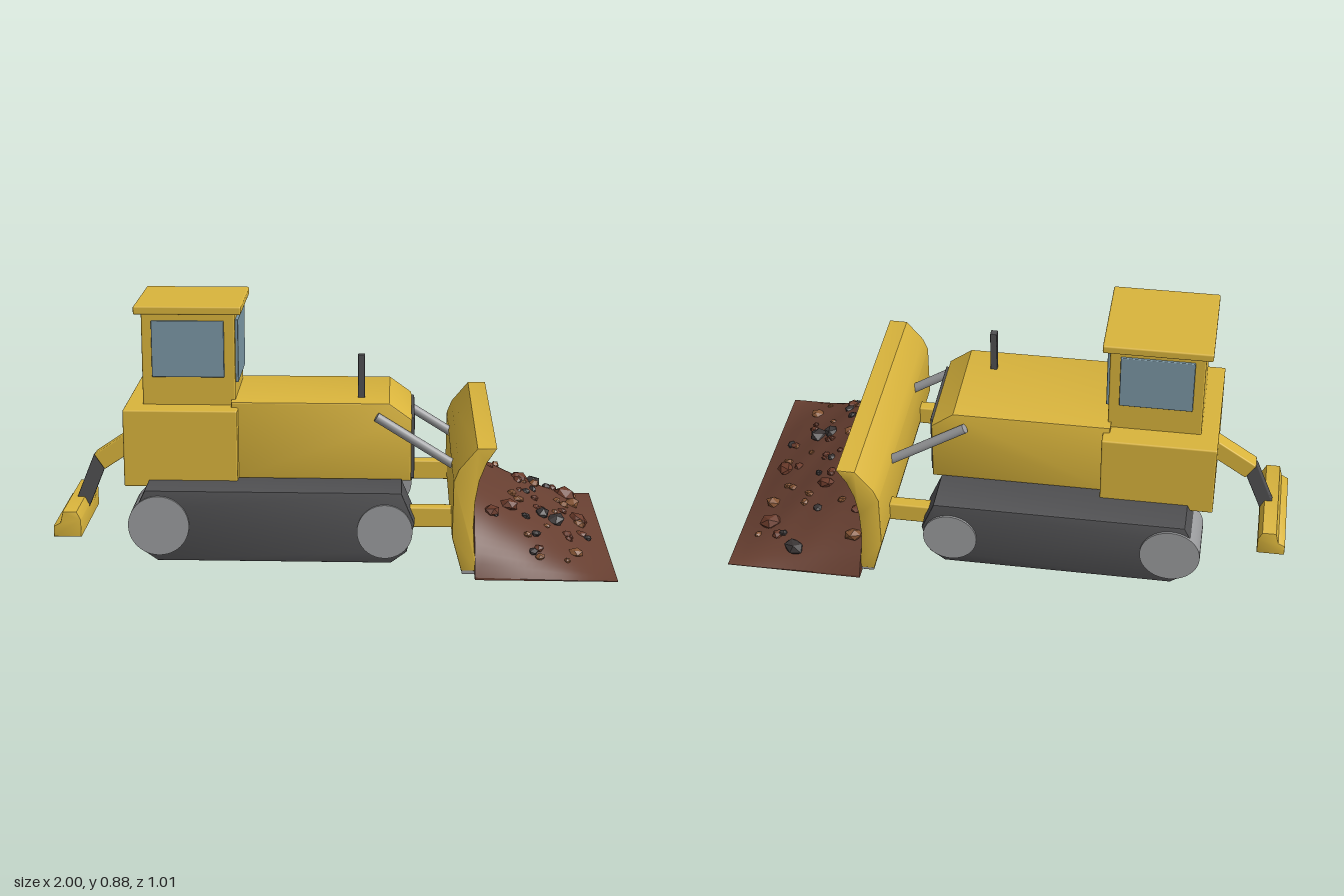
import * as THREE from 'three';
import { RoundedBoxGeometry } from 'three/addons/geometries/RoundedBoxGeometry.js';
import { toCreasedNormals } from 'three/addons/utils/BufferGeometryUtils.js';

const mat = (color, flatShading = false) => new THREE.MeshStandardMaterial({ color, flatShading });

export function createModel() {
  const model = new THREE.Group();
  const yellow = mat(0xd9b43c), dark = mat(0x505052), steel = mat(0x9b9c9e), glass = mat(0x7b97a5);
  const soil = mat(0x673f31);
  const stones = [mat(0x6a3a2a, true), mat(0x865534, true), mat(0x393434, true)];

  const add = (name, geometry, material) => {
    const mesh = new THREE.Mesh(geometry, material);
    mesh.name = name;
    model.add(mesh);
    return mesh;
  };
  // Box given by its minimum and maximum corners
  const box = (name, material, [x0, y0, z0], [x1, y1, z1], r = 0.006) => {
    const mesh = add(name, new RoundedBoxGeometry(x1 - x0, y1 - y0, z1 - z0, 2, r), material);
    mesh.position.set((x0 + x1) / 2, (y0 + y1) / 2, (z0 + z1) / 2);
    return mesh;
  };
  // Side profile in x/y, extruded across z with a small bevel
  const slab = (name, material, points, z0, z1, b = 0.006) => {
    const shape = new THREE.Shape(points.map(p => new THREE.Vector2(...p)));
    const geometry = new THREE.ExtrudeGeometry(shape, {
      depth: z1 - z0 - 2 * b, bevelEnabled: b > 0, bevelThickness: b, bevelSize: b, bevelOffset: -b, bevelSegments: 2,
    });
    geometry.translate(0, 0, z0 + b);
    return add(name, toCreasedNormals(geometry, 0.5), material);
  };
  // Bar between two points of the x/y plane
  const bar = (name, material, [ax, ay], [bx, by], thickness, width, z = 0, round = false) => {
    const length = Math.hypot(bx - ax, by - ay);
    const geometry = round
      ? new THREE.CylinderGeometry(thickness / 2, thickness / 2, length, 20).rotateZ(Math.PI / 2)
      : new RoundedBoxGeometry(length, thickness, width, 2, 0.005);
    const mesh = add(name, geometry, material);
    mesh.position.set((ax + bx) / 2, (ay + by) / 2, z);
    mesh.rotation.z = Math.atan2(by - ay, bx - ax);
  };

  // Body and engine hood
  box('rearBody', yellow, [-0.73, 0.245, -0.253], [-0.325, 0.525, 0.253]);
  slab('engineHood', yellow, [[-0.35, 0.26], [0.29, 0.26], [0.29, 0.487], [0.21, 0.545], [-0.35, 0.545]], -0.203, 0.203);
  box('grille', dark, [0.28, 0.26, -0.165], [0.301, 0.485, 0.165], 0.003);
  box('exhaust', dark, [0.097, 0.53, 0.09], [0.122, 0.7, 0.118], 0.003);

  // Cab
  box('cab', yellow, [-0.668, 0.515, -0.165], [-0.337, 0.862, 0.165]);
  box('roof', yellow, [-0.692, 0.855, -0.19], [-0.313, 0.885, 0.19]);
  box('frontWindow', glass, [-0.345, 0.602, -0.14], [-0.327, 0.83, 0.14], 0.003);

  for (const s of [-1, 1]) {
    const span = (a, b) => (s > 0 ? [a, b] : [-b, -a]);
    let [z0, z1] = span(0.15, 0.174);
    box('sideWindow', glass, [-0.632, 0.627, z0], [-0.375, 0.83, z1], 0.003);

    // Track with its two wheels
    [z0, z1] = span(0.205, 0.382);
    slab('track', dark, [[-0.6, 0.014], [0.22, 0.014], [0.275, 0.055], [0.302, 0.16], [0.255, 0.27],
      [-0.64, 0.27], [-0.675, 0.2], [-0.665, 0.06]], z0, z1);
    for (const [x, y, r] of [[-0.593, 0.144, 0.107], [0.198, 0.131, 0.097]]) {
      const wheel = add('wheel', new THREE.CylinderGeometry(r, r, 0.19, 40), steel);
      wheel.rotation.x = Math.PI / 2;
      wheel.position.set(x, y, s * 0.295);
    }

    // Blade supports
    [z0, z1] = span(0.268, 0.315);
    box('pushArm', yellow, [0.26, 0.125, z0], [0.455, 0.198, z1]);
    bar('liftCylinder', steel, [0.165, 0.5], [0.47, 0.31], 0.034, 0, s * 0.219, true);
  }

  // Blade with curved face and cutting edge
  slab('blade', yellow, [[0.463, 0.02], [0.43, 0.14], [0.432, 0.34], [0.45, 0.385], [0.512, 0.46], [0.578, 0.46],
    [0.545, 0.41], [0.52, 0.345], [0.507, 0.27], [0.503, 0.18], [0.508, 0.09], [0.52, 0.02]], -0.47, 0.47, 0.004);
  box('cuttingEdge', steel, [0.465, 0.006, -0.465], [0.52, 0.035, 0.465], 0.004);

  // Rear ripper
  bar('ripperArm', yellow, [-0.7, 0.372], [-0.855, 0.268], 0.068, 0.06);
  bar('ripperLink', dark, [-0.85, 0.285], [-0.925, 0.1], 0.055, 0.03);
  slab('ripperFoot', yellow, [[-1, 0.035], [-0.9, 0.035], [-0.9, 0.1], [-0.915, 0.13], [-0.965, 0.13],
    [-0.975, 0.088], [-1, 0.075]], -0.2, 0.2, 0.004);

  // Soil heap: a box whose top follows the slope
  const crest = z => 0.264 * Math.pow(Math.max(0, 1 - Math.pow(Math.abs(z) / 0.507, 2.8)), 0.75);
  const height = (x, z) => {
    const t = (1 - x) / 0.49;
    return crest(z) * t * (1 + 0.03 * Math.sin(x * 31 + z * 17) * (1 - t));
  };
  const heap = new THREE.BoxGeometry(0.49, 1, 1.01, 20, 1, 48).translate(0.755, 0.5, 0);
  const p = heap.attributes.position;
  for (let i = 0; i < p.count; i++) if (p.getY(i) > 0.5) p.setY(i, Math.max(0.002, height(p.getX(i), p.getZ(i))));
  heap.computeVertexNormals();
  add('soilHeap', heap, soil);

  // Stones scattered on the slope
  let seed = 11;
  const random = () => (seed = (seed * 16807) % 2147483647) / 2147483647;
  const stone = (x, z, r, kind) => {
    const mesh = add('stone', new THREE.IcosahedronGeometry(r, 0), stones[kind]);
    mesh.scale.set(0.8 + random() * 0.3, 0.55 + random() * 0.2, 0.8 + random() * 0.4);
    mesh.rotation.set(random() * 0.5, random() * 6, random() * 0.5 - 0.5);
    mesh.position.set(x, height(x, z) + r * 0.1, z);
  };
  // Larger stones: z, height on the slope, radius, kind
  const large = [
    [0.31, 0.185, 0.033, 0], [0.225, 0.18, 0.036, 0], [0.16, 0.1, 0.04, 2], [0.16, 0.125, 0.032, 2],
    [0.1, 0.185, 0.022, 1], [0, 0.05, 0.04, 0], [0.36, 0.05, 0.025, 1], [-0.18, 0.155, 0.036, 0],
    [-0.2, 0.05, 0.03, 1], [-0.31, 0.05, 0.042, 0], [-0.42, 0.145, 0.034, 1], [-0.44, 0.055, 0.038, 2],
    [-0.34, 0.185, 0.024, 0], [-0.38, 0.055, 0.025, 0], [0.04, 0.05, 0.025, 1], [-0.12, 0.165, 0.018, 0],
  ];
  for (const [z, y, r, kind] of large) stone(1 - 0.49 * Math.min(0.93, y / crest(z)), z, r, kind);
  for (let i = 0; i < 36; i++) {
    const x = 0.56 + 0.37 * random(), z = 0.88 * (random() - 0.5);
    stone(x, z, 0.01 + 0.012 * random(), Math.floor(random() * 3));
  }
  return model;
}
